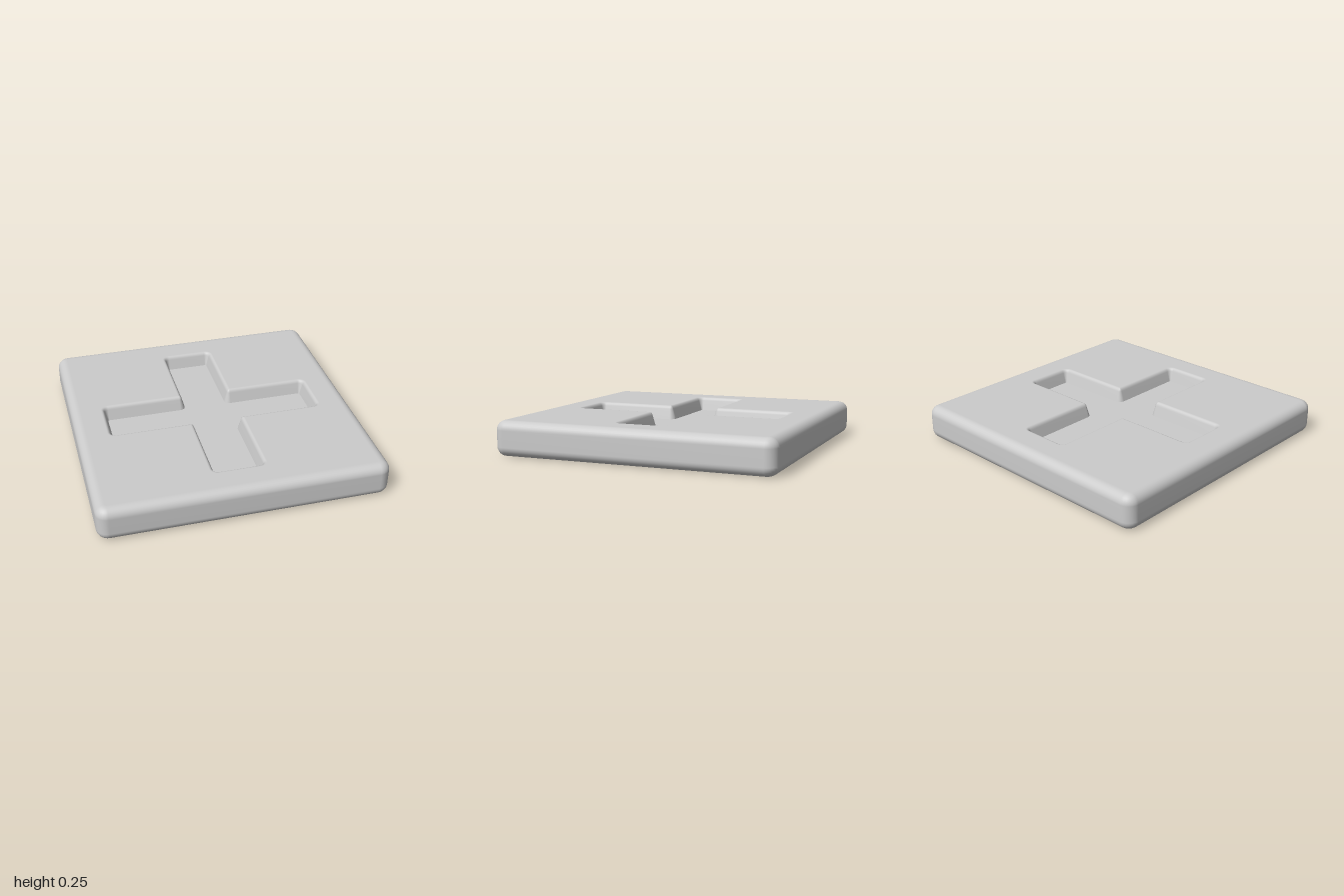
import * as THREE from 'three';

const HEIGHT = 0.246, FLOOR = 0.146, FILLET = 0.065, CORNER = 0.08;
const STEPS = 6;

// Repeats a list of corners in all four quadrants, counter-clockwise
function fourfold(corners) {
  const out = [];
  for (let q = 0; q < 4; q++) {
    for (let [x, y] of corners) {
      for (let k = 0; k < q; k++) [x, y] = [-y, x];
      out.push(new THREE.Vector2(x, y));
    }
  }
  return out;
}

// Rounds every right-angled corner: outer corners with rOut, inner ones with rIn
function roundCorners(corners, rOut, rIn) {
  const n = corners.length, pts = [];
  corners.forEach((p, i) => {
    const u = p.clone().sub(corners[(i + n - 1) % n]).normalize();
    const v = corners[(i + 1) % n].clone().sub(p).normalize();
    const r = u.cross(v) > 0 ? rOut : rIn;
    const c = p.clone().addScaledVector(u, -r).addScaledVector(v, r);
    for (let s = 0; s <= STEPS; s++) {
      const t = (s / STEPS) * Math.PI / 2;
      pts.push(c.clone().addScaledVector(v, -r * Math.cos(t)).addScaledVector(u, r * Math.sin(t)));
    }
  });
  return pts;
}

// Slab outline pulled in by "inset"
function slabOutline(inset) {
  const h = 1 - inset;
  return roundCorners(fourfold([[h, -h]]), CORNER - inset, 0);
}

// Cross outline of the recess floor, widened by "offset"
function crossOutline(offset) {
  const w = 0.152 + offset, l = 0.737 + offset;
  return roundCorners(fourfold([[l, -w], [l, w], [w, w]]), 0.01 + offset, Math.max(0.042 - offset, 0.002));
}

// Skin through closed rings of equal length
function loft(rings) {
  const n = rings[0].pts.length, pos = [], idx = [];
  for (const { pts, y } of rings) for (const p of pts) pos.push(p.x, y, -p.y);
  for (let i = 0; i < rings.length - 1; i++) {
    for (let j = 0; j < n; j++) {
      const a = i * n + j, b = i * n + (j + 1) % n;
      idx.push(a, b, a + n, b, b + n, a + n);
    }
  }
  const g = new THREE.BufferGeometry();
  g.setAttribute('position', new THREE.Float32BufferAttribute(pos, 3));
  g.setIndex(idx);
  g.computeVertexNormals();
  return g;
}

// Flat face at height y, facing up (1) or down (-1)
function flatFace(outline, y, facing, hole) {
  const shape = new THREE.Shape(outline);
  if (hole) shape.holes.push(new THREE.Path(hole));
  return new THREE.ShapeGeometry(shape).rotateX(-facing * Math.PI / 2).translate(0, y, 0);
}

export function createModel() {
  const group = new THREE.Group();
  const material = new THREE.MeshStandardMaterial({ color: 0xcccccc });
  const add = (name, geometry) => {
    const mesh = new THREE.Mesh(geometry, material);
    mesh.name = name;
    group.add(mesh);
  };

  // Rounded rim of the slab, from the underside up to the top
  const inner = FILLET + 0.008;
  const rim = [{ pts: slabOutline(inner), y: 0 }];
  for (const top of [false, true]) {
    for (let s = 0; s <= 8; s++) {
      const t = (s / 8) * Math.PI / 2;
      const [c, d] = top ? [Math.cos(t), Math.sin(t)] : [Math.sin(t), Math.cos(t)];
      const y = top ? HEIGHT - FILLET + FILLET * d : FILLET - FILLET * d;
      rim.push({ pts: slabOutline(FILLET * (1 - c)), y });
    }
  }
  rim.push({ pts: slabOutline(inner), y: HEIGHT });
  add('slabRim', loft(rim));

  // Recess wall: softened lip, then a slightly sloping side down to the floor
  const lip = [[0.048, 0], [0.043, 0], [0.036, 0.002], [0.030, 0.007], [0.025, 0.014], [0.021, 0.024], [0, HEIGHT - FLOOR]];
  add('recessWall', loft(lip.map(([offset, drop]) => ({ pts: crossOutline(offset), y: HEIGHT - drop }))));

  // Flat faces
  add('topFace', flatFace(slabOutline(inner), HEIGHT, 1, crossOutline(lip[0][0])));
  add('recessFloor', flatFace(crossOutline(0), FLOOR, 1));
  add('underside', flatFace(slabOutline(inner), 0, -1));

  return group;
}
